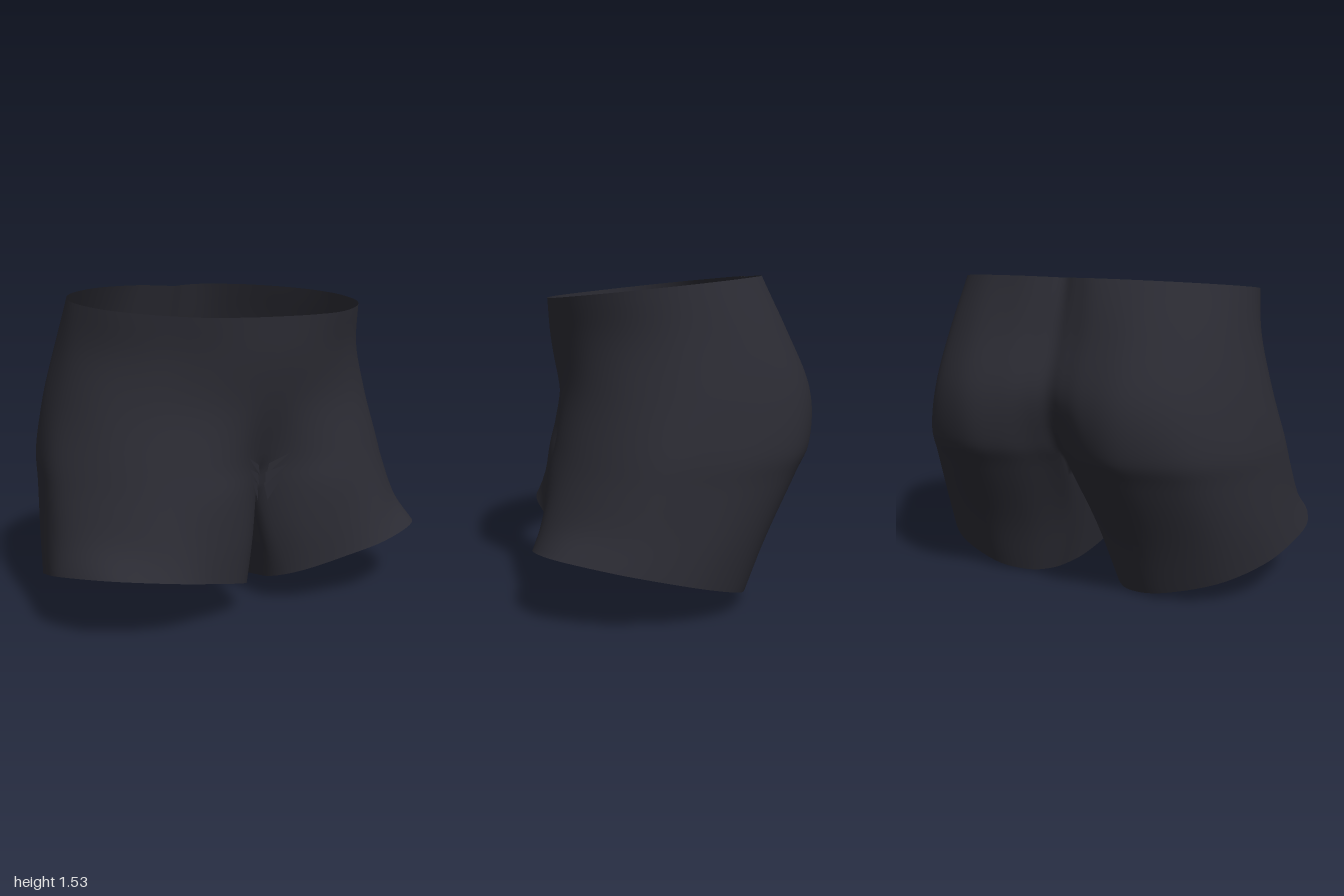
import * as THREE from 'three';
import { mergeVertices } from 'three/addons/utils/BufferGeometryUtils.js';

// Cross-sections of the left half. tilt = [a, b, c] gives y = a + b*x + c*z.
// outer runs from the front centre round the hip to the back centre.
const torso = [
  { tilt: [1.482, 0, -0.105], outer: [[0, .585], [.2, .575], [.4, .53], [.6, .4], [.73, .24], [.78, .05], [.75, -.11], [.67, -.24], [.54, -.35], [.4, -.42], [.2, -.455], [.08, -.43], [0, -.4]] },
  { tilt: [1.25, 0, -0.05], outer: [[0, .57], [.2, .555], [.4, .5], [.59, .395], [.735, .235], [.81, .04], [.79, -.16], [.72, -.32], [.6, -.45], [.42, -.54], [.22, -.54], [.09, -.505], [0, -.48]] },
  { tilt: [1.0, 0, 0], outer: [[0, .53], [.2, .53], [.4, .5], [.61, .415], [.78, .26], [.865, .05], [.85, -.18], [.77, -.38], [.63, -.56], [.42, -.658], [.22, -.64], [.09, -.595], [0, -.565]] },
  { tilt: [.76, 0, 0], outer: [[0, .46], [.2, .53], [.4, .55], [.63, .48], [.81, .33], [.92, .12], [.91, -.1], [.835, -.34], [.67, -.56], [.42, -.662], [.23, -.63], [.09, -.54], [0, -.49]] },
];
// Leg sections also have an inner side, from back to front.
const leg = [
  { tilt: [.6, 0, 0], outer: [[0, .4], [.16, .53], [.36, .59], [.62, .54], [.82, .39], [.94, .18], [.93, -.04], [.855, -.28], [.69, -.49], [.43, -.59], [.23, -.55], [.08, -.44], [0, -.36]],
    inner: [[0, -.22], [0, -.06], [0, .09], [0, .2], [0, .3]] },
  { tilt: [.3, .1, .11], outer: [[.05, .44], [.17, .55], [.36, .61], [.62, .605], [.84, .465], [.965, .25], [.955, .02], [.885, -.19], [.72, -.365], [.46, -.44], [.25, -.39], [.12, -.28], [.07, -.2]],
    inner: [[.06, -.1], [.05, 0], [.04, .13], [.035, .25], [.035, .36]] },
  { tilt: [.006, .205, .23], outer: [[.11, .48], [.2, .56], [.36, .62], [.6, .67], [.87, .575], [1, .32], [.985, .1], [.91, -.1], [.74, -.265], [.48, -.335], [.3, -.3], [.2, -.22], [.15, -.13]],
    inner: [[.12, -.04], [.1, .08], [.09, .2], [.08, .3], [.075, .39]] },
];

const spline = (pts) => new THREE.CatmullRomCurve3(pts, false, 'catmullrom', 0.5);

// Each section becomes an outer and an inner curve, with one extra point at
// each end so that neighbouring patches meet smoothly.
const curves = [...torso, ...leg].map(({ tilt: [a, b, c], outer, inner }) => {
  const lift = ([x, z]) => new THREE.Vector3(x, a + b * x + c * z, z);
  const o = outer.map(lift);
  const mirror = (p) => new THREE.Vector3(-p.x, p.y, p.z);
  const n = inner ? inner.map(lift)
    : [1, 2, 3, 4, 5].map((i) => o[12].clone().lerp(o[0], i / 6));
  return {
    outer: spline([inner ? n[4] : mirror(o[1]), ...o, inner ? n[0] : mirror(o[11])]),
    inner: spline([o[11], o[12], ...n, o[0], o[1]]),
  };
});

// Point on a patch: u along the section, v from the waist down to the hem.
function column(side, u) {
  const count = side === 'outer' ? 12 : 6;
  const path = spline(curves.map((c) => c[side].getPoint((1 + u * count) / (count + 2))));
  return (v) => {
    const p = path.getPoint(v);
    p.x = Math.max(0, p.x);
    return p;
  };
}

function addTriangle(out, a, b, c) {
  // left half, then its mirror image with the corners reversed
  for (const p of [a, b, c]) out.push(p.x, p.y, p.z);
  for (const p of [a, c, b]) out.push(-p.x, p.y, p.z);
}

function addPatch(out, side, uSteps, vStart) {
  const vSteps = 36;
  const grid = [];
  for (let i = 0; i <= uSteps; i++) {
    const at = column(side, i / uSteps);
    grid.push(Array.from({ length: vSteps + 1 }, (_, j) => at(j / vSteps)));
  }
  for (let i = 0; i < uSteps; i++) {
    for (let j = vStart; j < vSteps; j++) {
      const a = grid[i][j], b = grid[i][j + 1], c = grid[i + 1][j + 1], d = grid[i + 1][j];
      addTriangle(out, a, b, d);
      addTriangle(out, b, c, d);
    }
  }
}

function toGeometry(positions, smooth) {
  let g = new THREE.BufferGeometry();
  g.setAttribute('position', new THREE.Float32BufferAttribute(positions, 3));
  if (smooth) g = mergeVertices(g, 1e-4);
  g.computeVertexNormals();
  return g;
}

export function createModel() {
  const group = new THREE.Group();
  group.name = 'shorts';
  const fabric = new THREE.MeshStandardMaterial({ color: 0x2b2b33, side: THREE.DoubleSide });
  fabric.name = 'charcoal fabric';

  // Hips, seat and both legs as one smooth cloth
  const cloth = [];
  addPatch(cloth, 'outer', 60, 0);
  addPatch(cloth, 'inner', 18, 24);
  const body = new THREE.Mesh(toGeometry(cloth, true), fabric);
  body.name = 'shortsCloth';
  group.add(body);

  // Small sharp creases either side of the crotch
  const folds = [];
  const near = column('outer', 0.015), far = column('outer', 0.05);
  for (let i = 0; i < 3; i++) {
    const v = 0.55 + i * 0.055;
    const tip = far(v - 0.05), low = near(v + 0.06), high = near(v);
    for (const p of [tip, low, high]) p.z += 0.008;
    low.z += 0.015;
    addTriangle(folds, high, low, tip);
  }
  const creases = new THREE.Mesh(toGeometry(folds, false), fabric);
  creases.name = 'crotchFolds';
  group.add(creases);

  return group;
}
